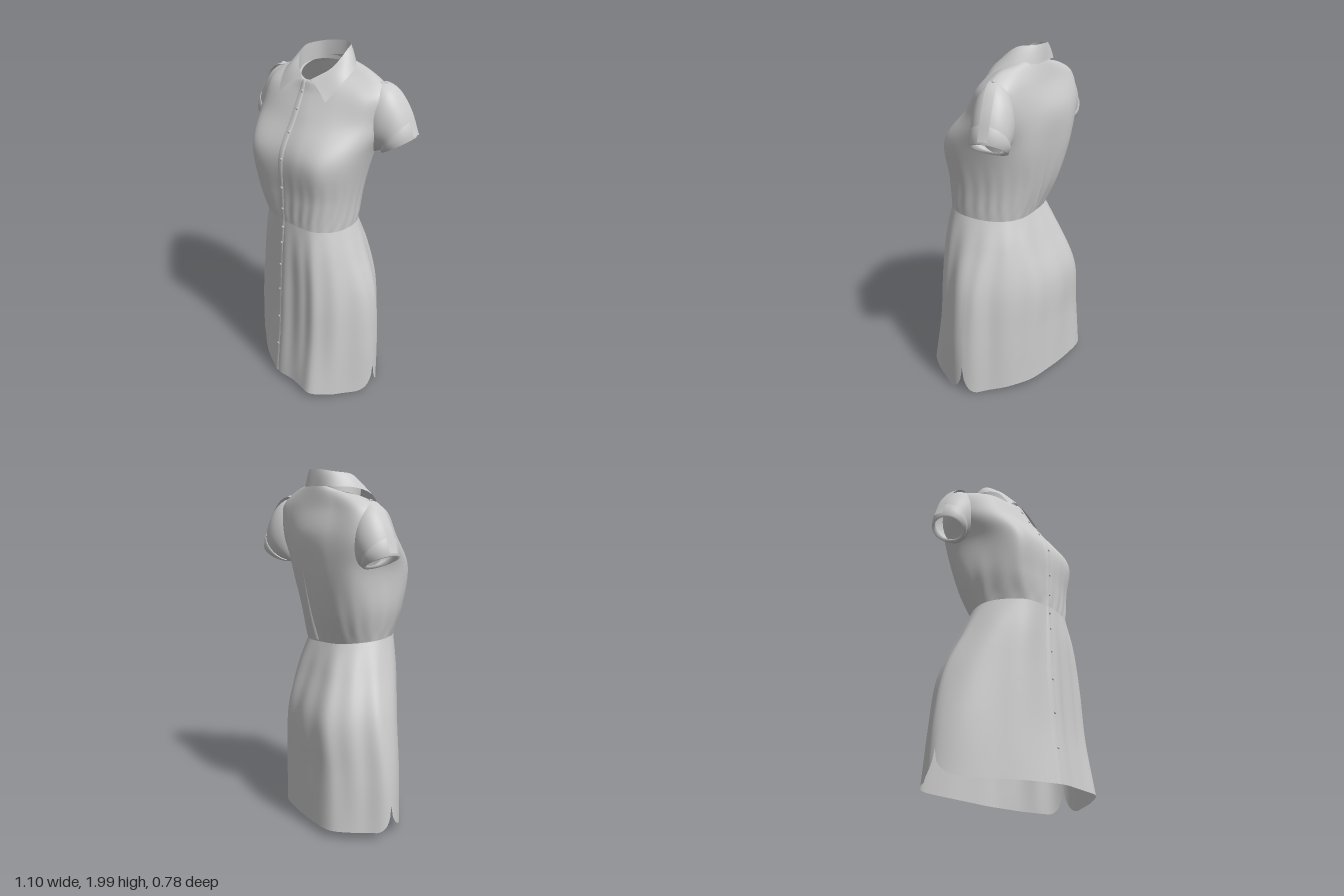
import * as THREE from 'three';

const V = (x, y, z) => new THREE.Vector3(x, y, z);
const cloth = new THREE.MeshStandardMaterial({ color: 0xcccccc, side: THREE.DoubleSide });

// Grid of points fn(s, t), s and t in 0..1; optionally closed along s
function grid(nu, nv, fn, closed = false) {
  const pos = [], idx = [], cols = closed ? nu : nu + 1;
  for (let j = 0; j <= nv; j++)
    for (let i = 0; i < cols; i++) pos.push(...fn(i / nu, j / nv).toArray());
  for (let j = 0; j < nv; j++)
    for (let i = 0; i < nu; i++) {
      const a = j * cols + i, b = j * cols + (i + 1) % cols;
      idx.push(a, b, b + cols, a, b + cols, a + cols);
    }
  const g = new THREE.BufferGeometry();
  g.setAttribute('position', new THREE.Float32BufferAttribute(pos, 3));
  g.setIndex(idx);
  g.computeVertexNormals();
  return g;
}

// Closed outline of 12 x,z pairs: front, left (+x), back, right; dip lowers the left seam
function ring(yFront, yBack, dip, xz) {
  const pts = [];
  for (let k = 0; k < 12; k++) {
    const a = k / 12 * Math.PI * 2;
    const y = yFront + (yBack - yFront) * (1 - Math.cos(a)) / 2
      - dip * Math.max(0, Math.cos(a - Math.PI * 2 / 3)) ** 2;
    pts.push(V(xz[2 * k], y, xz[2 * k + 1]));
  }
  return new THREE.CatmullRomCurve3(pts, true);
}

// Smooth surface through a stack of outlines
const surface = rings => (u, v) =>
  new THREE.CatmullRomCurve3(rings.map(r => r.getPoint(((u % 1) + 1) % 1))).getPoint(v);

// Push a point outward from the body's axis
function lift(p, d) {
  const out = V(p.x + 0.02, 0, p.z + 0.02).normalize();
  return p.addScaledVector(out, d);
}

const waist = ring(1.08, 1.04, 0, [-.05, .265, .06, .28, .16, .27, .24, .19, .265, .05, .23, -.07,
  .14, -.15, 0, -.18, -.15, -.185, -.25, -.12, -.295, 0, -.215, .19]);

const skirtRings = [
  ring(.05, .055, .045, [-.08, .33, .08, .36, .21, .388, .34, .27, .46, .08, .385, -.07,
    .25, -.24, 0, -.345, -.29, -.385, -.43, -.275, -.53, -.15, -.34, .12]),
  ring(.35, .35, 0, [-.075, .3, .08, .325, .205, .34, .335, .25, .453, .08, .38, -.07,
    .24, -.245, 0, -.34, -.27, -.365, -.41, -.265, -.508, -.14, -.33, .12]),
  ring(.65, .65, 0, [-.07, .285, .08, .31, .2, .32, .32, .23, .418, .07, .36, -.07,
    .22, -.245, 0, -.33, -.23, -.355, -.365, -.25, -.447, -.12, -.31, .13]),
  ring(.9, .88, 0, [-.06, .275, .07, .3, .18, .3, .28, .21, .33, .06, .29, -.08,
    .19, -.19, 0, -.245, -.19, -.265, -.3, -.18, -.358, -.05, -.265, .165]),
  waist,
];
const bodiceRings = [
  waist,
  ring(1.24, 1.23, 0, [-.05, .27, .08, .285, .19, .265, .265, .17, .28, .03, .25, -.09,
    .15, -.19, 0, -.24, -.17, -.263, -.29, -.18, -.33, 0, -.27, .2]),
  ring(1.47, 1.47, 0, [-.05, .265, .07, .29, .2, .285, .295, .19, .33, .02, .3, -.12,
    .2, -.22, 0, -.285, -.2, -.315, -.32, -.26, -.345, -.03, -.305, .205]),
  ring(1.65, 1.65, 0, [-.04, .165, .07, .175, .2, .15, .325, .07, .385, -.05, .35, -.16,
    .2, -.235, 0, -.295, -.2, -.315, -.365, -.28, -.415, -.13, -.325, .08]),
];
const yokeRings = [
  ring(1.78, 1.8, 0, [-.04, .09, .06, .09, .18, .075, .31, .03, .395, -.06, .355, -.155,
    .2, -.21, 0, -.245, -.18, -.26, -.355, -.255, -.4, -.16, -.3, .02]),
  ring(1.84, 1.89, 0, [-.04, .065, .04, .06, .12, .03, .2, -.02, .29, -.08, .25, -.14,
    .14, -.19, 0, -.222, -.12, -.23, -.235, -.21, -.29, -.16, -.18, -.02]),
  ring(1.84, 1.93, 0, [-.04, .05, .02, .035, .06, 0, .1, -.05, .12, -.1, .11, -.15,
    .06, -.19, 0, -.21, -.08, -.21, -.14, -.18, -.165, -.12, -.12, -.01]),
];
const skirtAt = surface(skirtRings);
const torsoAt = surface([...bodiceRings, ...yokeRings]);

// Rounded shirt-tail notch at each side seam
function notch(u) {
  const d = Math.min(Math.abs(u * 12 - 4), Math.abs(u * 12 - 10)) / 0.6;
  return d < 1 ? 0.12 * (1 - Math.sqrt(1 - (1 - d) ** 2)) : 0;
}
function skirtPoint(u, t) {
  const v = notch(u) + (1 - notch(u)) * t;
  const folds = Math.sin(u * Math.PI * 28) * 0.005 * Math.sin(Math.PI * Math.min(1, t * 0.9 + 0.1));
  return lift(skirtAt(u, v), folds);
}
function torsoPoint(u, t) {
  const gathers = Math.sin(u * Math.PI * 44) * 0.004 * Math.max(0, 1 - t * 3.5) * Math.min(1, t * 20);
  return lift(torsoAt(u, t), gathers);
}

export function createModel() {
  const model = new THREE.Group();
  const add = (name, geo) => {
    const m = new THREE.Mesh(geo, cloth);
    m.name = name;
    model.add(m);
    return m;
  };

  add('skirt', grid(192, 36, skirtPoint, true));
  add('torso', grid(132, 48, torsoPoint, true));

  // Button placket down the front
  const placket = (at, v1) => grid(4, 50, (s, t) =>
    lift(at(-.012 + s * .02, t * v1), s === 0 || s === 1 ? -.003 : .004));
  add('skirtPlacket', placket(skirtPoint, 1));
  add('torsoPlacket', placket(torsoPoint, .97));
  const button = (p, size = .008) => {
    const b = add('button', new THREE.SphereGeometry(size, 12, 8));
    b.position.copy(p);
    return b;
  };
  for (const v of [.08, .2, .32, .44, .56, .68]) button(lift(torsoPoint(0, v), .006)).scale.z = .6;
  for (const v of [.16, .32, .48, .64, .8, .94]) button(lift(skirtPoint(0, v), .006)).scale.z = .6;

  // Long tapered pleat at the centre back
  add('backPleat', grid(6, 30, (s, t) => lift(torsoPoint(6.75 / 12 + (s - .5) * .02 * (1 - t), .01 + t * .42),
    -.003 + .014 * Math.sin(s * Math.PI) * (1 - t))));

  // Collar: folded leaf outside, stand inside
  const edge = pts => new THREE.CatmullRomCurve3(pts.map(p => V(...p)));
  const fold = edge([[-.06, 1.85, .07], [-.13, 1.91, 0], [-.165, 1.97, -.1], [-.12, 1.985, -.19], [-.02, 2, -.22],
    [.07, 2, -.2], [.11, 1.99, -.11], [.085, 1.91, 0], [0, 1.85, .07]]);
  const outer = edge([[-.2, 1.755, .095], [-.215, 1.86, .01], [-.21, 1.9, -.12], [-.14, 1.905, -.22], [-.02, 1.91, -.23],
    [.09, 1.905, -.212], [.165, 1.9, -.11], [.175, 1.86, .01], [.12, 1.755, .11]]);
  const base = edge([[-.04, 1.81, .055], [-.125, 1.84, 0], [-.17, 1.87, -.11], [-.12, 1.885, -.195], [-.02, 1.89, -.215],
    [.07, 1.885, -.19], [.12, 1.87, -.1], [.085, 1.84, -.01], [-.02, 1.81, .055]]);
  const between = (a, b, puff) => grid(56, 6, (s, t) => a.getPoint(s).lerp(b.getPoint(s), t)
    .add(V(0, puff * Math.sin(t * Math.PI), 0)));
  add('collarLeaf', between(outer, fold, .01));
  add('collarStand', between(base, fold, 0));

  // Sleeve rings: top x,y, bottom x,y, centre z, half depth
  const sleeveRings = [
    [.28, 1.8, .29, 1.49, -.12, .08], [.335, 1.835, .315, 1.47, -.13, .105], [.41, 1.813, .335, 1.475, -.138, .115],
    [.487, 1.712, .36, 1.485, -.145, .108], [.537, 1.58, .37, 1.49, -.145, .095],
  ];
  for (const side of [1, -1]) {
    const name = side > 0 ? 'left' : 'right';
    const dz = side > 0 ? .04 : -.025, dy = side > 0 ? .012 : -.015;
    const ringPoint = (r, a, grow) => {
      const c = V((r[0] + r[2]) / 2, (r[1] + r[3]) / 2, r[4] + dz);
      const h = V(r[0] - r[2], r[1] - r[3], 0).multiplyScalar(.5);
      h.setLength(h.length() + grow);
      c.addScaledVector(h, Math.cos(a)).add(V(0, dy * (1 + Math.cos(a)) / 2, Math.sin(a) * (r[5] + grow)));
      c.x *= side;
      return c;
    };
    const sleeveAt = (a, v, grow) =>
      new THREE.CatmullRomCurve3(sleeveRings.map(r => ringPoint(r, a, grow))).getPoint(v);
    const turn = Math.PI * 2;
    add(name + 'Sleeve', grid(48, 24, (s, t) => sleeveAt(s * turn, t, 0), true));

    // Turned-up cuff with a rolled edge
    const cuffSteps = [[.86, 0], [.86, .007], [.93, .008], [1, .007], [1, -.008], [.93, -.01]];
    add(name + 'Cuff', grid(48, 5, (s, t) => {
      const [v, g] = cuffSteps[Math.round(t * 5)];
      return sleeveAt(s * turn, v, g).add(V(0, v === 1 ? -.01 : 0, 0));
    }, true));

    // Shoulder tab following the sleeve's top, pointed at the inner end
    const tabPoint = (s, t) => {
      const p = sleeveAt(0, .25 + t * .75, .012);
      const w = .028 * Math.min(1, .25 + t * 8);
      return p.add(V(0, s === 0 || s === 1 ? -.003 : 0, (s * 2 - 1) * w - .01 * t));
    };
    add(name + 'ShoulderTab', grid(4, 24, tabPoint));
    button(tabPoint(.5, .12), .011).scale.y = .6;
  }
  return model;
}
